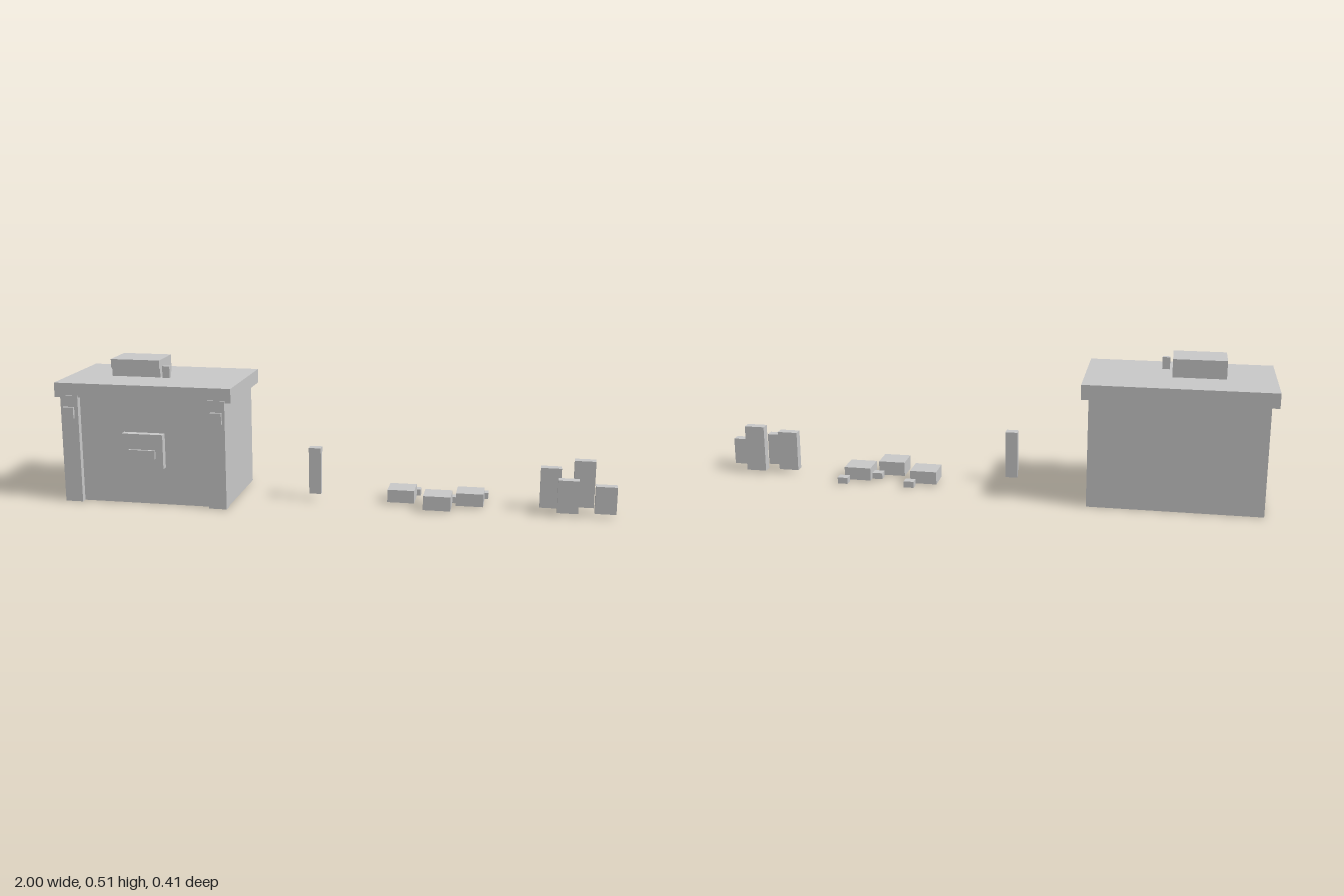
import * as THREE from 'three';

export function createModel() {
  const root = new THREE.Group();
  root.name = 'shopCounterSet';
  const grey = new THREE.MeshStandardMaterial({ color: 0xc8c8c8 });
  grey.name = 'light grey';

  const group = (name) => {
    const g = new THREE.Group();
    g.name = name;
    root.add(g);
    return g;
  };
  // Box given by its limits on each axis
  const box = (parent, name, [x0, x1], [y0, y1], [z0, z1]) => {
    const m = new THREE.Mesh(new THREE.BoxGeometry(x1 - x0, y1 - y0, z1 - z0), grey);
    m.name = name;
    m.position.set((x0 + x1) / 2, (y0 + y1) / 2, (z0 + z1) / 2);
    parent.add(m);
  };

  // Counter: body, overhanging top, corner posts with square studs
  const counter = group('counter');
  box(counter, 'counterBody', [-0.975, -0.37], [0, 0.389], [-0.19, 0.17]);
  box(counter, 'counterTop', [-1, -0.345], [0.388, 0.44], [-0.204, 0.188]);
  const midX = -0.672;
  for (const side of [-1, 1]) {
    const span = (a, b) => [midX + side * a, midX + side * b].sort((p, q) => p - q);
    box(counter, 'cornerPost', span(0.24, 0.305), [0, 0.396], [0.158, 0.192]);
    box(counter, 'postStud', span(0.254, 0.295), [0.313, 0.354], [0.19, 0.203]);
  }
  // Front plaque with a raised bar
  box(counter, 'frontPlaque', [-0.749, -0.597], [0.139, 0.265], [0.165, 0.197]);
  box(counter, 'plaqueBar', [-0.723, -0.625], [0.177, 0.208], [0.195, 0.206]);

  // Box on the counter with a lip along its upper front, and a small upright latch beside it
  const cash = group('cashBox');
  box(cash, 'cashBoxBody', [-0.829, -0.645], [0.446, 0.51], [-0.07, 0.056]);
  box(cash, 'cashBoxLip', [-0.829, -0.645], [0.479, 0.51], [0.05, 0.066]);
  box(cash, 'latch', [-0.635, -0.608], [0.446, 0.489], [0.045, 0.062]);

  // Short upright post with a deeper cap
  const post = group('cappedPost');
  box(post, 'postShaft', [-0.1, -0.056], [0.024, 0.18], [-0.001, 0.022]);
  box(post, 'postCap', [-0.1, -0.056], [0.178, 0.198], [-0.006, 0.027]);

  // Three low blocks, each with a small block behind its corner
  const blocks = group('lowBlocks');
  for (const [x, z, h] of [[0.238, -0.028, 0.052], [0.375, 0.044, 0.057], [0.487, -0.028, 0.052]]) {
    box(blocks, 'lowBlock', [x - 0.049, x + 0.049], [0.005, h], [z - 0.045, z + 0.045]);
    box(blocks, 'smallBlock', [x + 0.025, x + 0.062], [0.004, 0.027], [z - 0.092, z - 0.06]);
  }

  // Four upright slabs of different heights
  const slabs = group('uprightSlabs');
  for (const [x, z, h] of [[0.771, -0.009, 0.159], [0.832, 0.044, 0.131], [0.889, -0.036, 0.183], [0.963, 0.03, 0.111]]) {
    box(slabs, 'uprightSlab', [x - 0.037, x + 0.037], [0.012, h], [z - 0.0165, z + 0.0165]);
  }

  return root;
}
